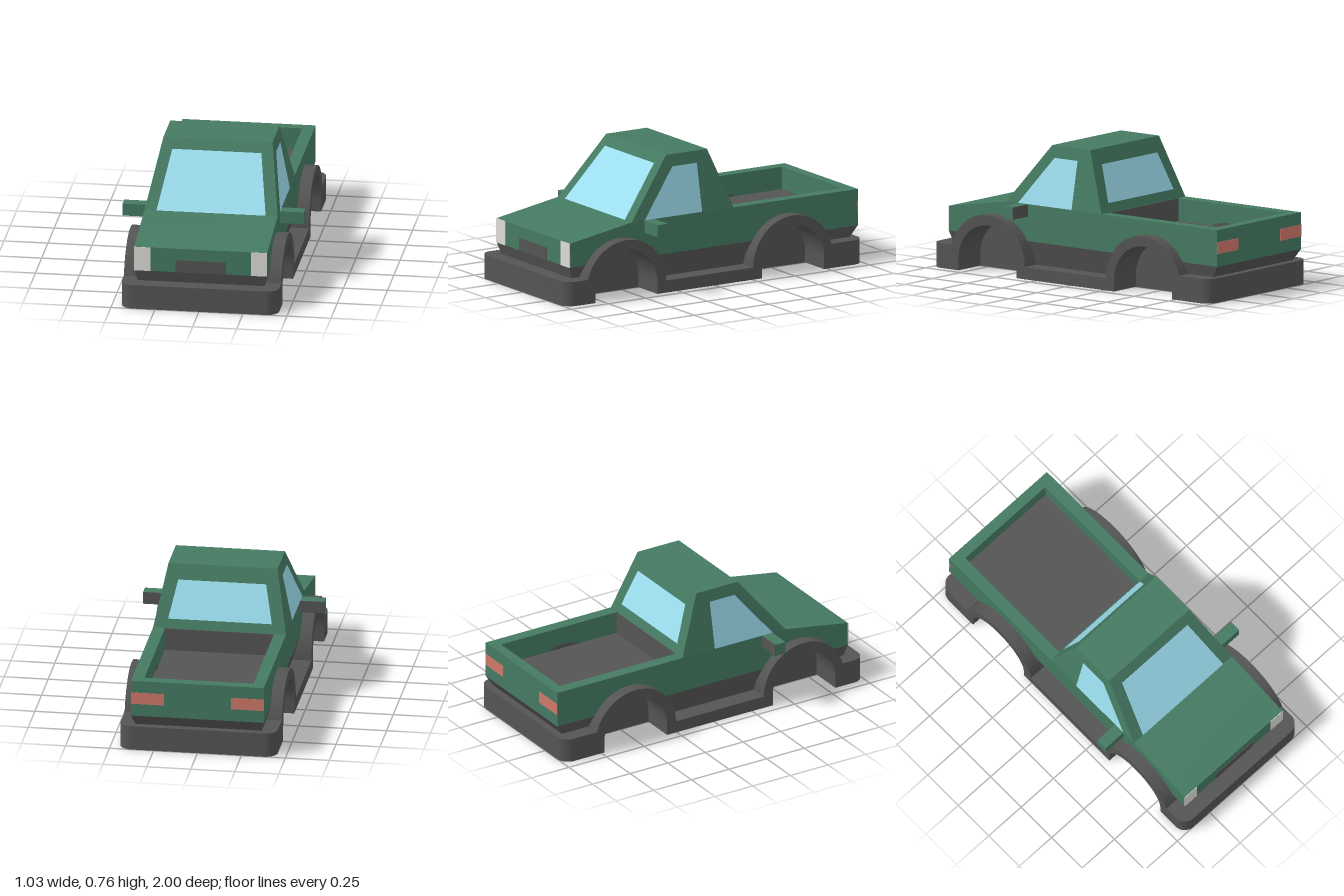
import * as THREE from 'three';
import { toCreasedNormals } from 'three/addons/utils/BufferGeometryUtils.js';

const mat = (color) => new THREE.MeshStandardMaterial({ color, side: THREE.DoubleSide });
const GREEN = mat(0x457a62), DARK = mat(0x545454), GLASS = mat(0x9ddff0);
const LAMP = mat(0xdddcd8), RED = mat(0xd0786a);

const FRONT_AXLE = 0.596, REAR_AXLE = -0.522, HUB_Y = 0.07;
const WELL_R = 0.208, ARCH_R = 0.267, CUT_R = 0.24;
const WIDTH = 0.447, BODY = 0.378, ROOF = 0.31, WELL_X = 0.25;
const BELT = 0.415, SILL = 0.205, TOP = 0.757;

export function createModel() {
  const model = new THREE.Group();
  const add = (name, geometry, material) => {
    const mesh = new THREE.Mesh(geometry, material);
    mesh.name = name;
    model.add(mesh);
    return mesh;
  };

  // Box given by its limits on each axis
  const box = (name, [x0, x1], [y0, y1], [z0, z1], material) =>
    add(name, new THREE.BoxGeometry(x1 - x0, y1 - y0, z1 - z0)
      .translate((x0 + x1) / 2, (y0 + y1) / 2, (z0 + z1) / 2), material);

  // Box whose bottom and top are different rectangles: [y, halfWidth, zBack, zFront]
  const taper = (name, bottom, top, material) => {
    const g = new THREE.BoxGeometry(2, 2, 2);
    const p = g.attributes.position;
    for (let i = 0; i < p.count; i++) {
      const [y, w, back, front] = p.getY(i) < 0 ? bottom : top;
      p.setXYZ(i, p.getX(i) * w, y, p.getZ(i) < 0 ? back : front);
    }
    g.computeVertexNormals();
    return add(name, g, material);
  };

  // Side profile drawn in (z, y), extruded from x0 to x1
  const side = (name, shape, x0, x1, material) => {
    const g = new THREE.ExtrudeGeometry(shape, { depth: x1 - x0, bevelEnabled: false, curveSegments: 32 });
    g.rotateY(-Math.PI / 2).translate(x1, 0, 0);
    return add(name, toCreasedNormals(g, 0.6), material);
  };

  // Flat four-cornered panel
  const pane = (name, a, b, c, d, material) => {
    const g = new THREE.BufferGeometry();
    g.setAttribute('position', new THREE.Float32BufferAttribute([a, b, c, a, c, d].flat(), 3));
    g.computeVertexNormals();
    return add(name, g, material);
  };

  const halfRing = (z, outer, inner) => {
    const s = new THREE.Shape();
    s.absarc(z, HUB_Y, outer, 0, Math.PI, false);
    if (inner) s.absarc(z, HUB_Y, inner, Math.PI, 0, true);
    return s;
  };

  // Chassis: centre slab, sills and rounded bumpers
  box('chassisFloor', [-WELL_X, WELL_X], [0, 0.14], [-0.95, 0.95], DARK);
  box('sills', [-WIDTH, WIDTH], [0, HUB_Y], [REAR_AXLE + WELL_R, FRONT_AXLE - WELL_R], DARK);
  const bumper = (name, inner, turn) => {
    const r = 0.07, s = new THREE.Shape();
    s.moveTo(-WIDTH, inner);
    s.lineTo(WIDTH, inner);
    s.absarc(WIDTH - r, 1 - r, r, 0, Math.PI / 2, false);
    s.absarc(r - WIDTH, 1 - r, r, Math.PI / 2, Math.PI, false);
    const g = new THREE.ExtrudeGeometry(s, { depth: 0.14, bevelEnabled: false, curveSegments: 10 });
    g.rotateX(Math.PI / 2).translate(0, 0.14, 0).rotateY(turn);
    add(name, toCreasedNormals(g, 0.6), DARK);
  };
  bumper('frontBumper', FRONT_AXLE + WELL_R, 0);
  bumper('rearBumper', -(REAR_AXLE - WELL_R), Math.PI);

  // Wheel arches with lined wells
  for (const z of [FRONT_AXLE, REAR_AXLE]) {
    for (const s of [1, -1]) {
      const span = (a, b) => (s > 0 ? [a, b] : [-b, -a]);
      side('wheelArch', halfRing(z, ARCH_R, WELL_R), ...span(0.32, WIDTH), DARK);
      side('wellLining', halfRing(z, WELL_R + 0.003, WELL_R), ...span(WELL_X, 0.33), DARK);
      side('wellWall', halfRing(z, WELL_R), ...span(WELL_X - 0.004, WELL_X + 0.001), DARK);
    }
  }

  // Dark lower trim, narrowing downwards
  taper('frontTrim', [0.13, 0.357, 0.82, 0.908], [SILL, BODY, 0.79, 0.93], DARK);
  taper('middleTrim', [HUB_Y - 0.01, 0.338, -0.285, 0.36], [SILL, BODY, -0.325, 0.4], DARK);
  taper('rearTrim', [0.13, 0.357, -0.95, -0.75], [SILL, BODY, -1, -0.71], DARK);

  // Body sections, cut out over the wheels
  const cut = Math.sqrt(CUT_R ** 2 - (SILL - HUB_Y) ** 2);
  const angle = Math.asin((SILL - HUB_Y) / CUT_R);
  const bodyShape = (axle, back, front, nose) => {
    const s = new THREE.Shape();
    s.moveTo(back, SILL);
    s.lineTo(axle - cut, SILL);
    s.absarc(axle, HUB_Y, CUT_R, Math.PI - angle, angle, true);
    s.lineTo(front, SILL);
    nose.forEach(([z, y]) => s.lineTo(z, y));
    s.lineTo(back, BELT);
    return s;
  };
  side('frontBody', bodyShape(FRONT_AXLE, -0.17, 0.93, [[0.93, 0.345], [0.516, BELT]]), -BODY, BODY, GREEN);
  const bedSide = bodyShape(REAR_AXLE, -1, -0.17, [[-0.17, BELT]]);
  side('bedSideLeft', bedSide, ROOF, BODY, GREEN);
  side('bedSideRight', bedSide, -BODY, -ROOF, GREEN);
  box('tailgate', [-ROOF, ROOF], [SILL, BELT], [-1, -0.94], GREEN);
  box('bedFloor', [-ROOF, ROOF], [0.282, 0.286], [-0.95, -0.17], DARK);
  box('bedFrontWall', [-ROOF, ROOF], [0.282, BELT - 0.001], [-0.174, -0.168], DARK);

  // Cab
  taper('cab', [BELT, BODY, -0.168, 0.516], [TOP, ROOF, -0.033, 0.24], GREEN);

  // Windows lie just outside the sloping cab faces
  const rise = (y) => (y - BELT) / (TOP - BELT), gap = 0.003;
  const onFront = (x, y) => [x, y, 0.516 - 0.276 * rise(y) + gap];
  const onBack = (x, y) => [x, y, -0.168 + 0.135 * rise(y) - gap];
  pane('windshield', onFront(-0.31, 0.417), onFront(0.31, 0.417), onFront(0.253, 0.705), onFront(-0.253, 0.705), GLASS);
  pane('rearWindow', onBack(0.295, 0.466), onBack(-0.295, 0.466), onBack(-0.25, 0.673), onBack(0.25, 0.673), GLASS);

  for (const s of [1, -1]) {
    const span = (a, b) => (s > 0 ? [a, b] : [-b, -a]);
    const onSide = (z, y) => [s * (BODY - 0.068 * rise(y) + gap), y, z];
    const corners = [onSide(0.43, 0.417), onSide(0.045, 0.417), onSide(0.045, 0.69), onSide(0.21, 0.69)];
    pane('sideWindow', ...(s > 0 ? corners : corners.reverse()), GLASS);

    // Door mirrors with dark rear faces
    box('mirror', span(0.36, 0.515), [0.345, BELT], [0.362, 0.43], GREEN);
    box('mirrorGlass', span(BODY, 0.515), [0.345, BELT], [0.36, 0.363], DARK);

    // Lamps
    box('headlight', span(0.285, BODY), [SILL, 0.345], [0.92, 0.933], LAMP);
    box('tailLight', span(0.19, BODY), [0.277, 0.345], [-1.002, -0.99], RED);
  }
  box('grille', [-0.143, 0.143], [SILL, 0.277], [0.92, 0.933], DARK);

  return model;
}
